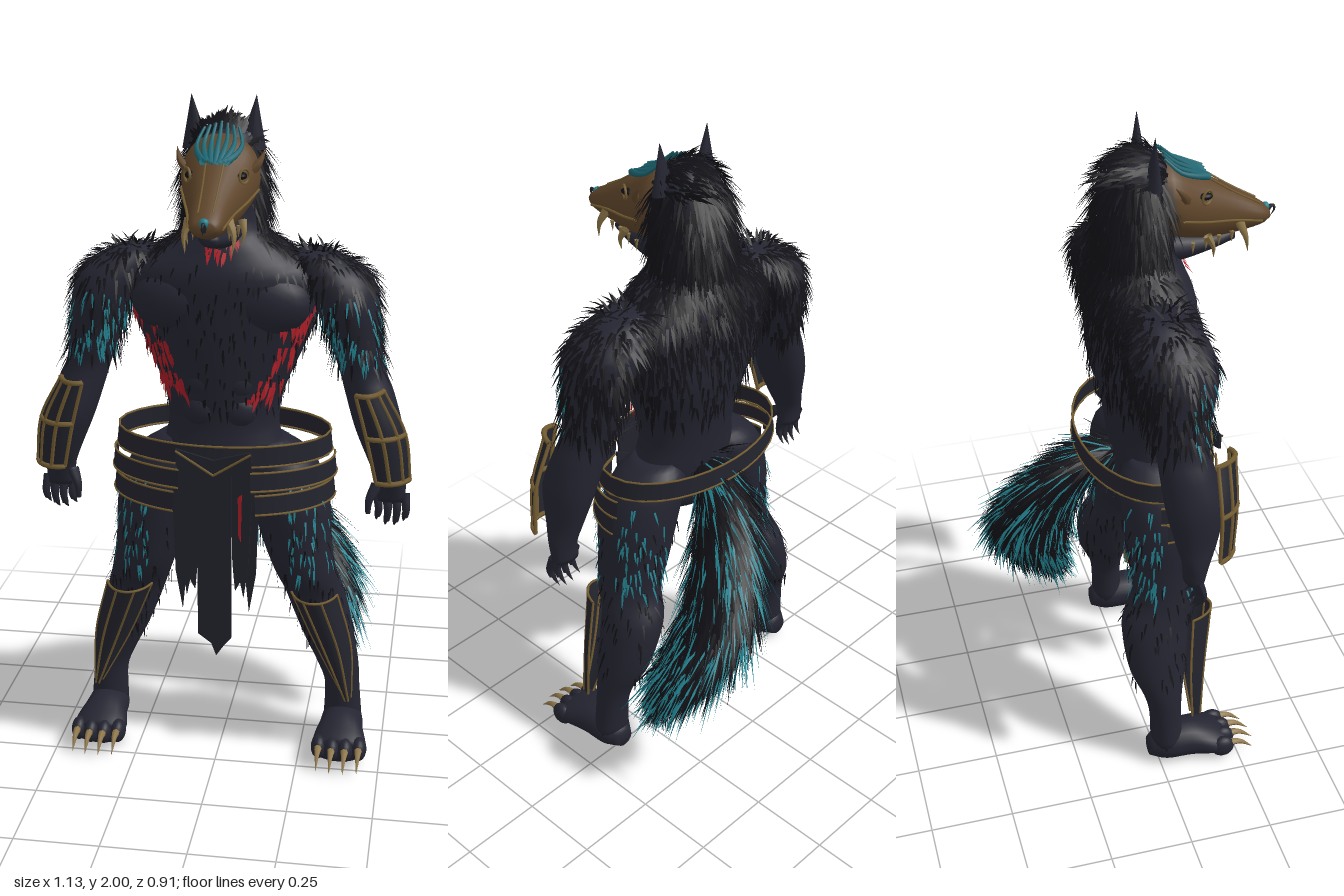
import * as THREE from 'three';

const V = (x, y, z) => new THREE.Vector3(x, y, z);
const TAU = Math.PI * 2;
const mat = (name, color) => Object.assign(new THREE.MeshStandardMaterial({ color, side: THREE.DoubleSide }), { name });

let seed = 7;
const rnd = () => (seed = (seed * 16807) % 2147483647) / 2147483647;

// Smooth skin through elliptical rows [x, y, z, radiusA, radiusB]; an arc gives an open shell.
function loft(rows, { axis = 'y', from = 0, to = TAU, seg = 20, steps = 4, caps = true } = {}) {
  const mid = new THREE.CatmullRomCurve3(rows.map(r => V(r[0], r[1], r[2])), false, 'catmullrom');
  const rad = new THREE.CatmullRomCurve3(rows.map(r => V(r[3], r[4], 0)), false, 'catmullrom');
  const closed = to - from > 6.28, n = (rows.length - 1) * steps, w = closed ? seg : seg + 1;
  const pos = [], idx = [];
  for (let i = 0; i <= n; i++) {
    const c = mid.getPoint(i / n), r = rad.getPoint(i / n);
    for (let j = 0; j < w; j++) {
      const t = from + (to - from) * j / seg;
      const a = Math.max(r.x, 0.002) * Math.cos(t), b = Math.max(r.y, 0.002) * Math.sin(t);
      pos.push(c.x + a, c.y + (axis === 'z' ? b : 0), c.z + (axis === 'y' ? b : 0));
    }
  }
  const k = axis === 'y' ? 1 : 2, flip = (rows.at(-1)[k] > rows[0][k]) === (axis === 'z');
  const tri = (a, b, c) => (flip ? idx.push(a, c, b) : idx.push(a, b, c));
  for (let i = 0; i < n; i++) for (let j = 0; j < seg; j++) {
    const a = i * w + j, b = i * w + (j + 1) % w;
    tri(a, a + w, b); tri(b, a + w, b + w);
  }
  if (closed && caps) [0, n].forEach(i => {
    const c = mid.getPoint(i / n), e = pos.length / 3;
    pos.push(c.x, c.y, c.z);
    for (let j = 0; j < w; j++) {
      const a = i * w + j, b = i * w + (j + 1) % w;
      i ? tri(a, e, b) : tri(a, b, e);
    }
  });
  return finish(pos, idx);
}
function finish(pos, idx) {
  const g = new THREE.BufferGeometry();
  g.setAttribute('position', new THREE.Float32BufferAttribute(pos, 3));
  g.setIndex(idx);
  g.computeVertexNormals();
  return g;
}

// Tube that tapers along its path: claws, fangs, fingers.
function taper(points, r, end = 0.04) {
  const curve = new THREE.CatmullRomCurve3(points.map(p => V(...p)));
  const g = new THREE.TubeGeometry(curve, 8, r, 7), p = g.attributes.position, v = V(0, 0, 0);
  for (let i = 0; i < p.count; i++) {
    const u = Math.floor(i / 8) / 8, c = curve.getPointAt(u);
    v.fromBufferAttribute(p, i).sub(c).multiplyScalar(1 - u * (1 - end)).add(c);
    p.setXYZ(i, v.x, v.y, v.z);
  }
  g.computeVertexNormals();
  return g;
}
const trim = (points, r = 0.004) => new THREE.TubeGeometry(new THREE.CatmullRomCurve3(points.map(p => V(...p))), 32, r, 5);

// Tapered blades scattered over a surface, combed along flow.
function fur(geo, n, { len, width = 0.008, lift = 0.4, where = () => true, flow = () => V(0, -1, 0) }) {
  const P = geo.attributes.position, N = geo.attributes.normal, I = geo.index, pos = [], idx = [];
  for (let tries = 0, made = 0; made < n && tries < n * 60; tries++) {
    const f = Math.floor(rnd() * I.count / 3) * 3, s = Math.sqrt(rnd()), q = rnd();
    const wts = [1 - s, s * (1 - q), s * q], p = V(0, 0, 0), nm = V(0, 0, 0), tmp = V(0, 0, 0);
    wts.forEach((wt, k) => {
      p.addScaledVector(tmp.fromBufferAttribute(P, I.getX(f + k)), wt);
      nm.addScaledVector(tmp.fromBufferAttribute(N, I.getX(f + k)), wt);
    });
    if (!where(p, nm)) continue;
    nm.normalize();
    const d = flow(p).clone().addScaledVector(nm, -flow(p).dot(nm) * 0.8).addScaledVector(nm, lift)
      .add(V(rnd() - 0.5, rnd() - 0.5, rnd() - 0.5).multiplyScalar(0.4)).normalize();
    const side = d.clone().cross(nm).normalize().multiplyScalar(width / 2), L = len * (0.6 + 0.6 * rnd());
    p.addScaledVector(nm, 0.003);
    const m = p.clone().addScaledVector(d, L * 0.5), tip = p.clone().addScaledVector(d, L).add(V(0, -L * 0.15, 0));
    const e = pos.length / 3;
    for (const v of [p.clone().sub(side), p.clone().add(side), m.clone().sub(side), m.clone().add(side), tip]) pos.push(v.x, v.y, v.z);
    idx.push(e, e + 1, e + 2, e + 1, e + 3, e + 2, e + 2, e + 3, e + 4);
    made++;
  }
  return finish(pos, idx);
}

function mirror(geo) {
  const g = geo.clone().scale(-1, 1, 1), a = g.index.array;
  for (let i = 0; i < a.length; i += 3) [a[i], a[i + 1]] = [a[i + 1], a[i]];
  return g;
}
const ball = (x, y, z, rx, ry, rz) => new THREE.SphereGeometry(1, 18, 12).scale(rx, ry, rz).translate(x, y, z);
function plate(points, z, depth = 0.008) {
  const s = new THREE.Shape(points.map(p => new THREE.Vector2(...p)));
  return new THREE.ExtrudeGeometry(s, { depth, bevelEnabled: false }).translate(0, 0, z);
}

export function createModel() {
  const root = new THREE.Group();
  root.name = 'wolfWarrior';
  const skin = mat('skin', 0x252532), black = mat('blackFur', 0x111116), teal = mat('tealFur', 0x21808d), crest = mat('darkTealCrest', 0x1c6672),
    red = mat('redMarks', 0xa81d26), bone = mat('brownMask', 0x60462b), gold = mat('goldTrim', 0x745d32), claw = mat('claws', 0x8f774a), cloth = mat('darkCloth', 0x23232d);
  const add = (name, geo, m) => {
    const mesh = new THREE.Mesh(geo, m);
    mesh.name = name;
    root.add(mesh);
  };
  const both = (name, geo, m) => {
    if (!geo.index) geo.setIndex([...Array(geo.attributes.position.count).keys()]);
    add(name + 'Left', geo, m);
    add(name + 'Right', mirror(geo), m);
  };

  // Torso with chest and belly muscles
  const torso = loft([[0, .82, .05, .13, .09], [0, .95, .06, .18, .115], [0, 1.05, .05, .165, .115], [0, 1.15, .045, .18, .125],
    [0, 1.28, .035, .235, .145], [0, 1.4, .035, .28, .15], [0, 1.5, .035, .28, .15], [0, 1.57, .03, .19, .13],
    [0, 1.63, .03, .11, .11], [0, 1.75, .03, .1, .1]], { seg: 32 });
  add('torso', torso, skin);
  both('chestMuscle', ball(.12, 1.42, .11, .14, .1, .073), skin);
  for (let i = 0; i < 3; i++) both('bellyMuscle', ball(.05, 1.1 + i * .085, .13, .06, .055, .04), skin);
  add('backFur', fur(torso, 1150, { len: .06, lift: .2, where: p => p.y > 1.15 && p.y < 1.62 && (p.z < .01 || (p.y > 1.52 && p.z < .1)) && rnd() < (p.y - 1.1) * 2 }), black);
  add('chestFur', fur(torso, 200, { len: .032, width: .006, lift: .14, where: p => p.z > .05 && p.y > 1.1 && p.y < 1.55 }), black);
  add('chestMarks', fur(torso, 130, { len: .042, width: .012, lift: .25, flow: p => V(-Math.sign(p.x) * .5, -1, 0),
    where: p => p.z > .06 && p.y > 1.12 && p.y < 1.41 && Math.abs(Math.abs(p.x) - .105 - (p.y - 1.1) * .42) < .035 && Math.sin(p.y * 60) > -.6 }), red);
  add('throatMarks', fur(torso, 45, { len: .04, width: .01, where: p => p.z > .08 && p.y > 1.56 && p.y < 1.61 && Math.abs(p.x) < .025 + (p.y - 1.56) * .5 }), red);

  // Arms, hands and bracers
  const arm = loft([[.5, .82, .06, .045, .03], [.5, .88, .065, .045, .04], [.485, .94, .07, .05, .06], [.46, 1.05, .07, .07, .085],
    [.43, 1.15, .055, .072, .08], [.405, 1.22, .045, .068, .077], [.38, 1.32, .04, .08, .1], [.355, 1.42, .04, .095, .12],
    [.32, 1.5, .03, .1, .11], [.26, 1.56, .03, .06, .06]]);
  both('arm', arm, skin);
  both('shoulderFur', fur(arm, 700, { len: .055, lift: .33, where: p => p.y > 1.22 && rnd() < (p.z > .1 ? .35 : 1) * (p.y - 1.15) * 2.5 }), black);
  both('armTealFur', fur(arm, 80, { len: .042, width: .006, lift: .25, where: p => p.z > .06 && p.y > 1.24 && p.y < 1.45 }), teal);
  for (let i = 0; i < 4; i++) {
    const x = .462 + i * .027, drop = i === 0 || i === 3 ? .015 : 0;
    both('finger', taper([[x, .84, .06], [x + .006, .79, .075], [x + .003, .755 + drop, .07]], .016, .6), skin);
    both('fingerClaw', taper([[x + .003, .765 + drop, .072], [x, .745 + drop, .06], [x - .002, .73 + drop, .045]], .01), cloth);
  }
  both('thumb', taper([[.46, .87, .08], [.44, .83, .105], [.438, .79, .11]], .018, .4), skin);
  const bracerRows = [[.49, .91, .075, .075, .1], [.463, 1.05, .075, .085, .115], [.42, 1.18, .08, .06, .115]];
  both('bracer', loft(bracerRows, { from: .45, to: 1.95, seg: 10 }), cloth);
  const onRow = (r, t) => [r[0] + r[3] * Math.cos(t), r[1], r[2] + r[4] * Math.sin(t)];
  const arcLine = (r, a, b) => Array.from({ length: 33 }, (_, i) => onRow(r, a + (b - a) * i / 32));
  for (const t of [.45, .85, 1.4, 1.95]) both('bracerTrim', trim(bracerRows.map(r => onRow(r, t)), .006), gold);
  bracerRows.forEach(r => both('bracerBand', trim(arcLine(r, .45, 1.95), .008), gold));

  // Legs, greaves and clawed feet
  const leg = loft([[.375, .06, .03, .06, .05], [.37, .18, .025, .054, .05], [.355, .25, .02, .064, .06], [.328, .33, .01, .077, .085],
    [.3, .42, .01, .086, .1], [.275, .5, .018, .09, .105], [.25, .58, .055, .094, .105], [.225, .68, .06, .105, .115],
    [.2, .82, .06, .12, .125], [.16, .94, .05, .11, .112], [.13, 1.0, .05, .06, .07]]);
  both('leg', leg, skin);
  both('legFur', fur(leg, 150, { len: .04, width: .006, lift: .2, where: p => p.y > .3 && p.y < .85 }), black);
  both('thighTealFur', fur(leg, 90, { len: .045, width: .006, lift: .22, where: p => p.y > .6 && p.y < .92 && p.x > .2 && Math.abs(p.z - .06) > .03 }), teal);
  const greaveRows = [[.393, .17, .085, .012, .05], [.345, .34, .06, .058, .095], [.285, .52, .065, .075, .125]];
  both('greave', loft(greaveRows, { from: .4, to: 2.75, seg: 10 }), cloth);
  for (const t of [.4, 1.2, 1.95, 2.75]) both('greaveTrim', trim(greaveRows.map(r => onRow(r, t))), gold);
  both('greaveTopTrim', trim(arcLine(greaveRows[2], .4, 2.75)), gold);
  both('foot', loft([[.375, .045, -.03, .03, .03], [.375, .056, .02, .06, .055], [.375, .06, .1, .068, .058],
    [.375, .05, .17, .082, .046], [.375, .04, .215, .075, .034]], { axis: 'z' }), skin);
  for (let i = 0; i < 4; i++) {
    const x = .315 + i * .041, z = i === 0 || i === 3 ? -.012 : 0;
    both('toe', ball(x, .045, .21 + z, .024, .036, .038), skin);
    both('toeClaw', taper([[x, .055, .225 + z], [x, .052, .265 + z], [x, .018, .31 + z]], .014), claw);
  }

  // Head, neck mane and ears
  const head = loft([[0, 1.5, .02, .13, .12], [0, 1.6, .02, .11, .1], [0, 1.72, .02, .11, .105], [0, 1.82, .03, .1, .1],
    [0, 1.89, .035, .08, .075], [0, 1.925, .035, .02, .02]], { seg: 24 });
  add('head', head, skin);
  add('mane', fur(head, 1500, { len: .095, lift: .4, where: p => p.z < .09 && p.y < 1.87 }), black);
  add('crownFur', fur(head, 300, { len: .07, lift: .25, where: p => p.z < .1 && p.y > 1.85, flow: () => V(0, .1, -1) }), black);
  both('ear', new THREE.ConeGeometry(.04, .15, 10).scale(1, 1, .6).rotateZ(-.08).translate(.086, 1.926, .05), skin);

  // Long muzzle mask with trim, eyes and cheek spikes
  const mask = loft([[0, 1.79, .08, .105, .11], [0, 1.78, .12, .112, .114], [0, 1.745, .2, .088, .098], [0, 1.715, .3, .06, .068],
    [0, 1.698, .38, .046, .036], [0, 1.695, .41, .03, .016]], { axis: 'z', seg: 24 });
  add('mask', mask, bone);
  both('maskTrim', trim([[.025, 1.835, .22], [.022, 1.78, .3], [.02, 1.733, .38]], .003), gold);
  both('maskSideTrim', trim([[.11, 1.75, .13], [.09, 1.73, .2], [.063, 1.71, .3], [.047, 1.69, .38]], .004), gold);
  both('eyeSocket', ball(.072, 1.8, .2, .014, .01, .022), black);
  both('eyeRing', new THREE.TorusGeometry(.02, .004, 5, 14).rotateY(1).translate(.079, 1.8, .205), gold);
  both('cheekSpike', taper([[.085, 1.8, .14], [.11, 1.825, .13], [.125, 1.86, .1]], .018), bone);
  // Crest: strands fanning from the brow to a peak above the skull
  for (let i = -3; i <= 3; i++) {
    const s = 1 - Math.abs(i) * .18;
    add('crestStrand', taper([[i * .011, 1.828 + Math.abs(i) * .004, .222], [i * .019, 1.87 - Math.abs(i) * .004, .17],
      [i * .021, 1.894 - Math.abs(i) * .006, .13], [i * .016, 1.9 + .03 * s, .09]], .0105, .35), crest);
  }
  add('noseGem', ball(0, 1.709, .404, .014, .014, .012), teal);
  add('noseHook', taper([[0, 1.69, .405], [0, 1.712, .425], [0, 1.7, .433], [0, 1.68, .422]], .009), cloth);
  add('jaw', loft([[0, 1.65, .06, .075, .05], [0, 1.63, .14, .062, .045], [0, 1.63, .23, .045, .028], [0, 1.64, .31, .022, .018]], { axis: 'z' }), skin);
  both('frontFang', taper([[.05, 1.7, .31], [.068, 1.66, .325], [.064, 1.61, .335]], .015), claw);
  both('rearFang', taper([[.075, 1.68, .21], [.082, 1.65, .225], [.074, 1.61, .23]], .013), claw);
  for (let i = 0; i < 4; i++) both('tooth', new THREE.ConeGeometry(.007, .035, 5).rotateX(Math.PI).translate(.05 + i * .007, 1.655 - i * .004, .29 - i * .04), claw);

  // Layered belt: open full ring plus two hanging side bands
  const band = (name, y, h, a, b, from, to) => {
    const rows = [[0, y, .045, a, b], [0, y + h, .045, a - .006, b - .004]];
    const paired = to - from < 6, put = paired ? both : add;
    put(name, loft(rows, { from, to, seg: paired ? 16 : 48, steps: 1, caps: false }), cloth);
    rows.forEach(r => put(name + 'Trim', trim(arcLine(r, from, to), .0035), gold));
  };
  band('beltRing', .965, .06, .325, .205, 0, TAU);
  band('upperHangingBand', .895, .055, .338, .22, -.15, 1.25);
  band('lowerHangingBand', .825, .058, .335, .23, -.05, 1.2);

  // Loincloth strips
  add('buckle', plate([[-.11, 1.02], [-.11, .97], [0, .92], [.11, .97], [.11, 1.02], [0, .99]], .257), cloth);
  both('buckleTrim', trim([[.11, 1.015, .267], [.055, .98, .267], [0, .945, .267]]), gold);
  add('centreStrip', plate([[-.05, .98], [.05, .98], [.05, .42], [.025, .39], [.005, .36], [-.01, .4], [-.05, .43]], .243), cloth);
  both('sideStrip', plate([[.045, .98], [.112, .98], [.1, .66], [.085, .55], [.075, .6], [.06, .57], [.052, .66]], .23), cloth);
  both('thinStrip', plate([[.08, .9], [.13, .93], [.12, .62], [.1, .5], [.092, .58]], .218), cloth);
  add('redStripe', plate([[.068, .87], [.08, .88], [.077, .73], [.07, .75]], .239, .003), red);

  // Bushy tail swept to the left
  const tailRows = [[0, .96, -.04, .03, .03], [.03, .91, -.12, .055, .06], [.09, .8, -.2, .08, .09], [.17, .64, -.265, .095, .11],
    [.25, .5, -.265, .09, .1], [.305, .39, -.225, .06, .07], [.325, .33, -.2, .015, .015]];
  const tail = loft(tailRows), path = new THREE.CatmullRomCurve3(tailRows.map(r => V(r[0], r[1], r[2])));
  const along = p => path.getTangent(THREE.MathUtils.clamp((.96 - p.y) / .63, 0, 1));
  add('tail', tail, black);
  add('tailFur', fur(tail, 2300, { len: .13, width: .009, lift: .25, flow: along }), black);
  add('tailTealFur', fur(tail, 800, { len: .16, width: .0065, lift: .3, flow: along, where: p => rnd() < 1.15 - p.y }), teal);
  return root;
}
